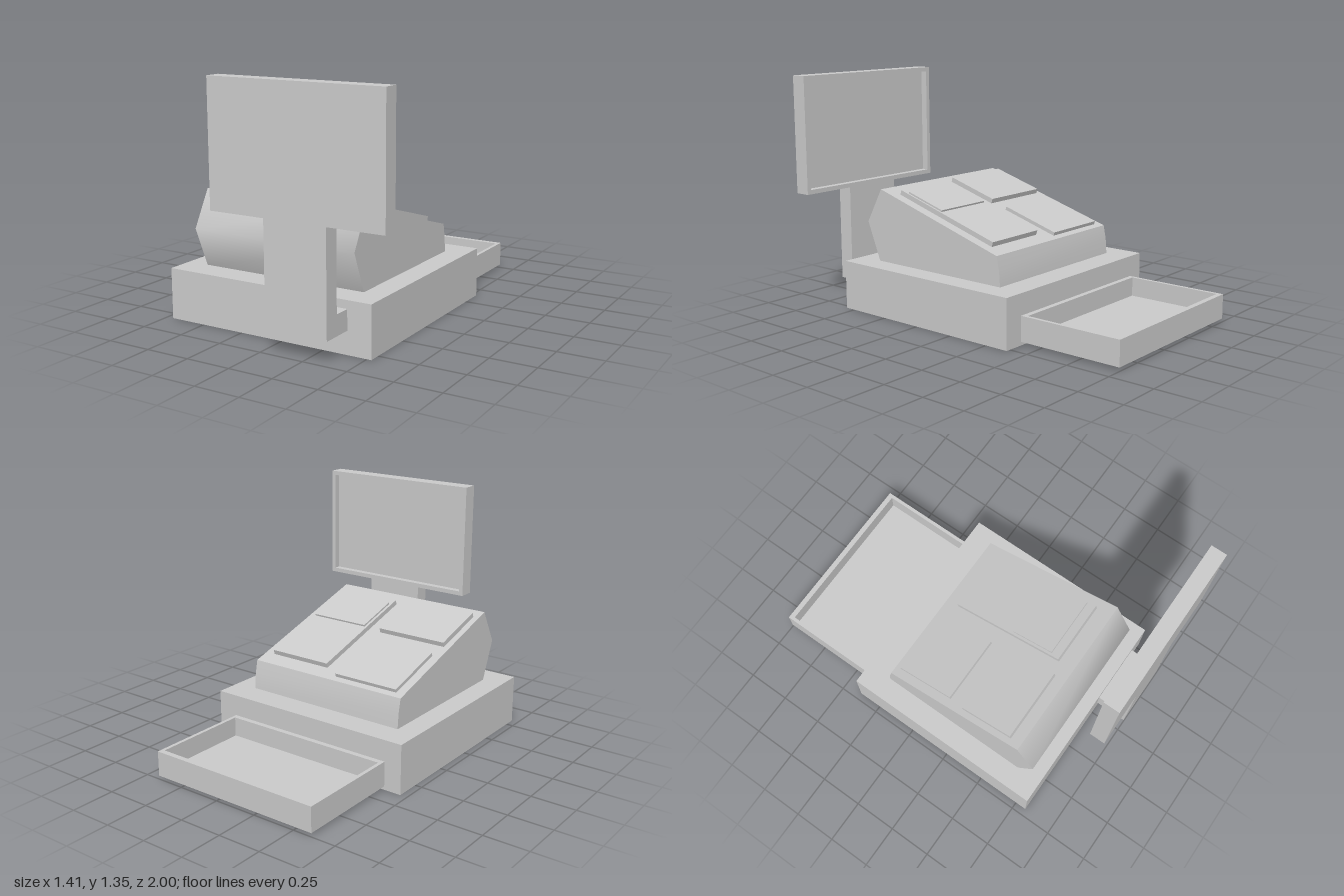
import * as THREE from 'three';
import { toCreasedNormals } from 'three/addons/utils/BufferGeometryUtils.js';

const material = new THREE.MeshStandardMaterial({ color: 0xcccccc });

function add(parent, name, geometry) {
  const mesh = new THREE.Mesh(geometry, material);
  mesh.name = name;
  parent.add(mesh);
  return mesh;
}

// Box given by its minimum and maximum on each axis
function box(parent, name, [x0, x1], [y0, y1], [z0, z1]) {
  const mesh = add(parent, name, new THREE.BoxGeometry(x1 - x0, y1 - y0, z1 - z0));
  mesh.position.set((x0 + x1) / 2, (y0 + y1) / 2, (z0 + z1) / 2);
  return mesh;
}

// Shallow open box, centred in XY with its back at z = 0 and opening towards +z
function tray(name, width, height, depth, panelDepth, wallX, wallY) {
  const group = new THREE.Group();
  group.name = name;
  const rect = (w, h, Type) => new Type([
    new THREE.Vector2(-w / 2, -h / 2), new THREE.Vector2(w / 2, -h / 2),
    new THREE.Vector2(w / 2, h / 2), new THREE.Vector2(-w / 2, h / 2),
  ]);
  const outline = rect(width, height, THREE.Shape);
  const iw = width - 2 * wallX, ih = height - 2 * wallY;
  outline.holes.push(rect(iw, ih, THREE.Path));
  add(group, name + 'Rim', new THREE.ExtrudeGeometry(outline, { depth, bevelEnabled: false }));
  box(group, name + 'Panel', [-iw / 2, iw / 2], [-ih / 2, ih / 2], [0, panelDepth]);
  return group;
}

export function createModel() {
  const model = new THREE.Group();
  model.name = 'cashRegister';

  box(model, 'base', [-0.71, 0.525], [0, 0.28], [-0.39, 0.815]);

  // Open cash drawer, opening upwards
  const drawer = tray('drawer', 1.02, 0.61, 0.14, 0.03, 0.02, 0.03);
  drawer.rotation.x = -Math.PI / 2;
  drawer.position.set(-0.1, 0.02, -0.695);
  model.add(drawer);

  // Wedge body: side profile as (z, y), extruded along x
  const profile = [
    [-0.237, 0.28], [0.665, 0.28], [0.755, 0.5], [0.645, 0.7], [-0.214, 0.445], [-0.23, 0.367],
  ].map(([z, y]) => new THREE.Vector2(z, y));
  const body = new THREE.ExtrudeGeometry(new THREE.Shape(profile), { depth: 0.98, bevelEnabled: false });
  body.rotateY(-Math.PI / 2).translate(0.395, 0, 0);
  add(model, 'body', toCreasedNormals(body, 0.96));

  // Key panels lying on the slope
  const slope = Math.atan2(0.7 - 0.445, 0.645 + 0.214);
  const panels = [
    ['lowerKeyPanel', -0.535, -0.14, -0.18, 0.17, 0.02],
    ['upperKeyPanel', -0.55, -0.125, 0.265, 0.58, 0.028],
    ['sideKeyPanel', -0.045, 0.335, -0.13, 0.55, 0.028],
    ['raisedKeyPanel', -0.03, 0.325, 0.25, 0.5, 0.038],
  ];
  for (const [name, x0, x1, z0, z1, thickness] of panels) {
    const length = (z1 - z0) / Math.cos(slope);
    const geometry = new THREE.BoxGeometry(x1 - x0, thickness, length).translate(0, thickness / 2, 0);
    const panel = add(model, name, geometry);
    const z = (z0 + z1) / 2;
    panel.position.set((x0 + x1) / 2, 0.445 + (z + 0.214) * Math.tan(slope), z);
    panel.rotation.x = -slope;
  }

  // Screen on an L-shaped stand, its display facing the operator at the back
  box(model, 'standArm', [0.035, 0.39], [0.125, 0.235], [0.815, 0.91]);
  box(model, 'standPost', [0.035, 0.39], [0.125, 0.68], [0.91, 1]);
  const screen = tray('screen', 0.99, 0.665, 0.09, 0.05, 0.025, 0.025);
  screen.rotation.y = Math.PI;
  screen.position.set(0.21, 1.0125, 1);
  model.add(screen);

  return model;
}
